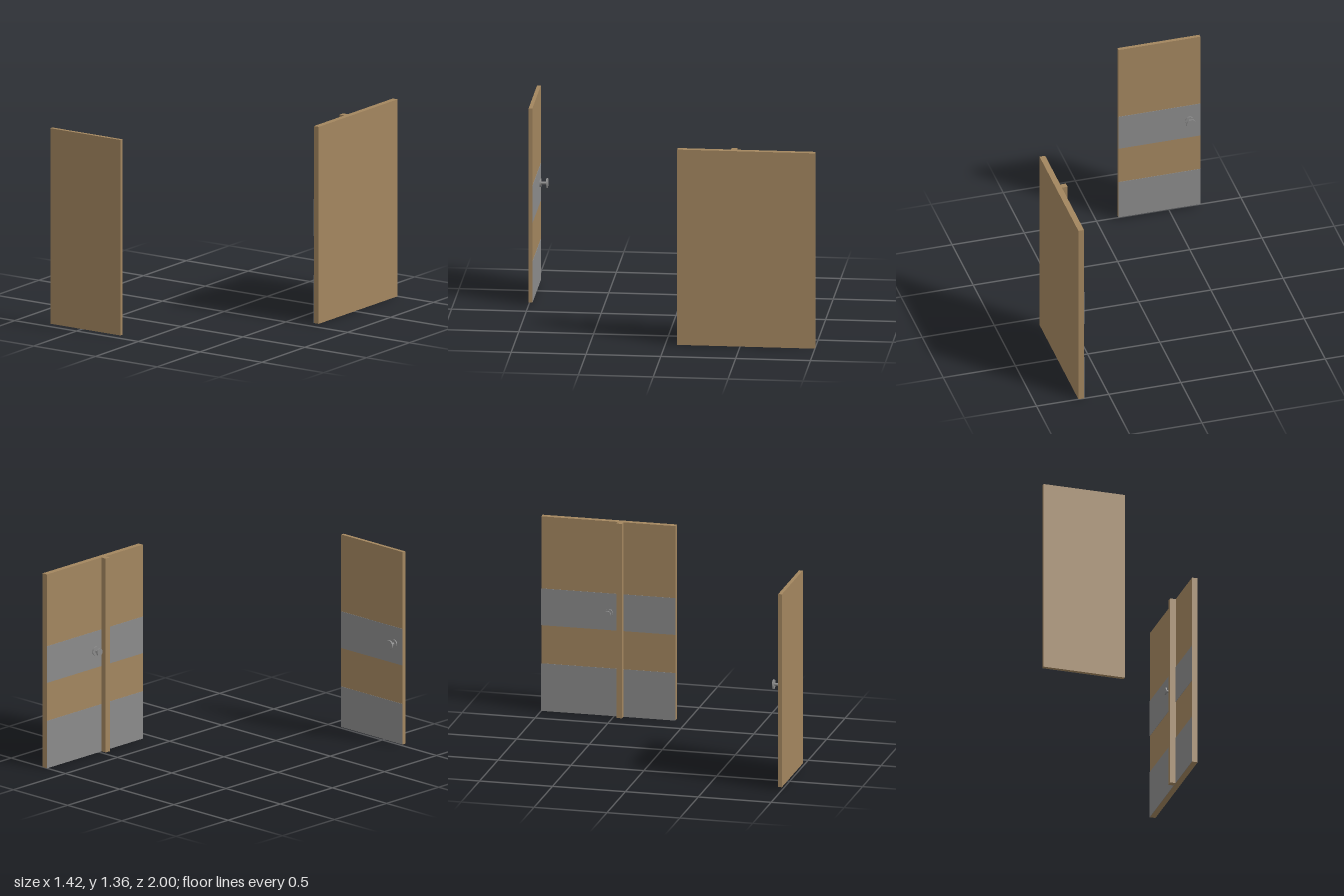
import * as THREE from 'three';

const wood = new THREE.MeshStandardMaterial({ color: 0xa3865f });
wood.name = 'wood';
const grey = new THREE.MeshStandardMaterial({ color: 0x8b8b8b });
grey.name = 'grey';

// Box given by its lower and upper limits
function box(name, material, x0, x1, y0, y1, z0, z1) {
  const mesh = new THREE.Mesh(new THREE.BoxGeometry(x1 - x0, y1 - y0, z1 - z0), material);
  mesh.position.set((x0 + x1) / 2, (y0 + y1) / 2, (z0 + z1) / 2);
  mesh.name = name;
  return mesh;
}

// Door knob pointing along +y from its base: rose, stem and cap
function knob(roseRadius, capRadius, length) {
  const group = new THREE.Group();
  group.name = 'knob';
  const parts = [
    ['rose', roseRadius, 0, 0.01],
    ['stem', 0.009, 0.01, length - 0.01],
    ['cap', capRadius, length - 0.01, length],
  ];
  for (const [name, r, y0, y1] of parts) {
    const mesh = new THREE.Mesh(new THREE.CylinderGeometry(r, r, y1 - y0, 20), grey);
    mesh.position.y = (y0 + y1) / 2;
    mesh.name = name;
    group.add(mesh);
  }
  return group;
}

export function createModel() {
  const model = new THREE.Group();
  model.name = 'doors';
  const t = 0.002; // thickness of the painted bands

  // Single door, bands and knob on its back
  const single = new THREE.Group();
  single.name = 'singleDoor';
  single.add(box('panel', wood, -0.712, -0.145, 0.02, 1.36, 0.975, 1));
  for (const [y0, y1] of [[0.02, 0.302], [0.57, 0.825]]) {
    single.add(box('band', grey, -0.712, -0.145, y0, y1, 0.975 - t, 0.975));
  }
  const singleKnob = knob(0.028, 0.033, 0.055);
  singleKnob.rotation.x = -Math.PI / 2;
  singleKnob.position.set(-0.635, 0.708, 0.975);
  single.add(singleKnob);
  model.add(single);

  // Double door, bands, centre post and knob on its right side
  const double = new THREE.Group();
  double.name = 'doubleDoor';
  double.add(box('panel', wood, 0.671, 0.71, 0, 1.35, -1, -0.08));
  for (const [y0, y1] of [[0, 0.33], [0.595, 0.85]]) {
    double.add(box('band', grey, 0.671 - t, 0.671, y0, y1, -1, -0.08));
  }
  double.add(box('centrePost', wood, 0.632, 0.671, 0, 1.35, -0.476, -0.436));
  const doubleKnob = knob(0.03, 0.025, 0.045);
  doubleKnob.rotation.z = Math.PI / 2;
  doubleKnob.position.set(0.671, 0.713, -0.537);
  double.add(doubleKnob);
  model.add(double);

  return model;
}
